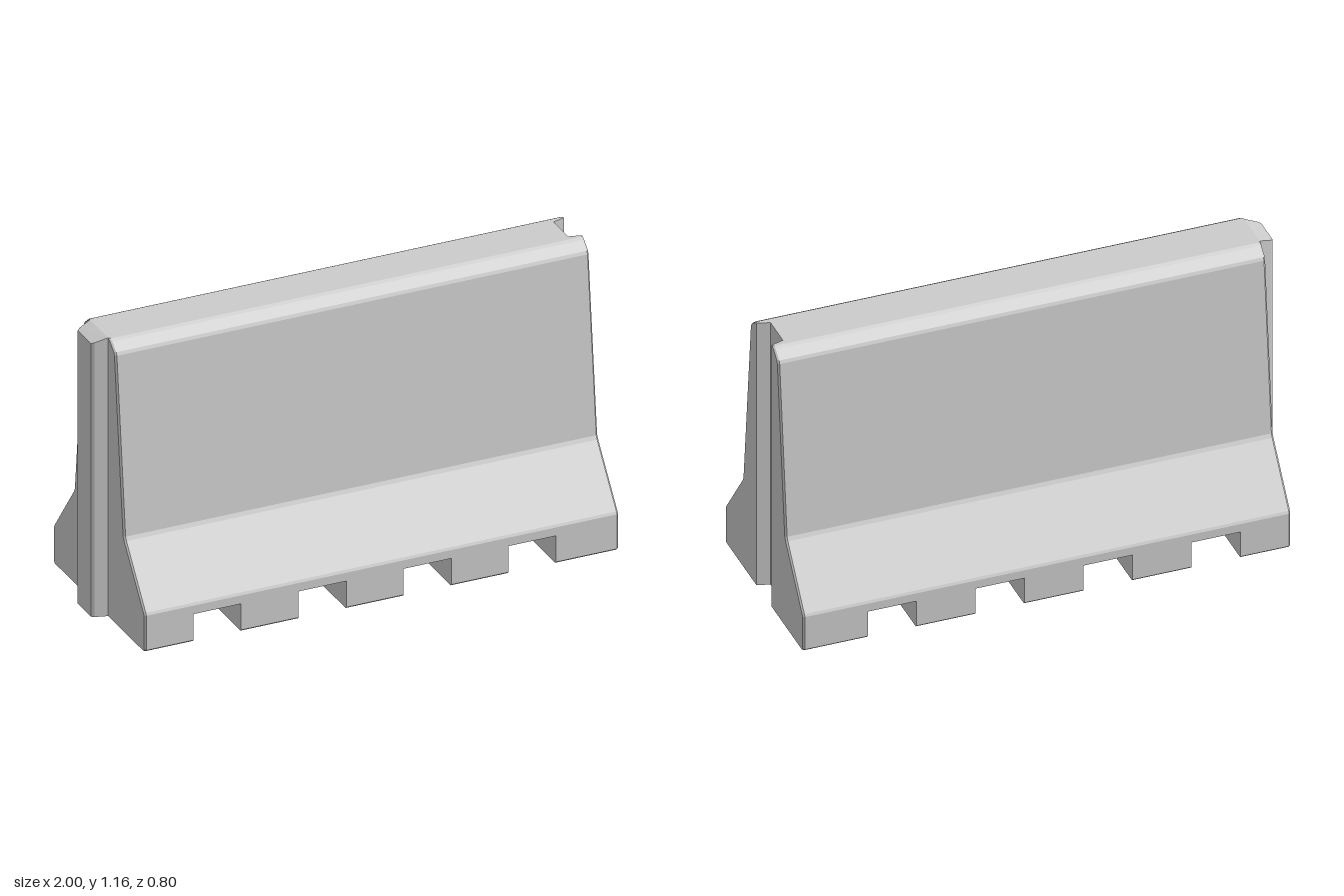
import * as THREE from 'three';

const LEFT = -0.94, RIGHT = 1, NOTCH = 0.115, EDGE = 0.007;

// Half-width of the barrier at each height, from the notch ceiling to the crown
const PROFILE = [
  [0.4, NOTCH], [0.4, 0.15], [0.395, 0.16], [0.226, 0.38], [0.218, 0.395],
  [0.142, 1.115], [0.136, 1.127], [0.101, 1.156], [0.088, 1.163],
];

// Plan outline [x, z]; the outer ends get a small chamfer, the right end the groove
function outline(x0, x1, w) {
  const a = x0 === LEFT ? EDGE : 0, b = x1 === RIGHT ? EDGE : 0;
  const pts = [[x0, w - a], [x0 + a, w], [x1 - b, w], [x1, w - b]];
  if (x1 === RIGHT) pts.push([x1, 0.078], [0.95, 0.064], [0.95, -0.064], [x1, -0.078]);
  pts.push([x1, -w + b], [x1 - b, -w], [x0 + a, -w], [x0, -w + a]);
  return pts;
}

// Flat-shaded solid through stacked plan outlines; levels are { y, pts: [x, z, dy] }
function loft(levels, capTop) {
  const pos = [];
  const rings = levels.map(({ y, pts }) => pts.map(([x, z, dy = 0]) => [x, y + dy, z]));
  const tri = (p, q, r) => pos.push(...p, ...q, ...r);
  for (let i = 0; i + 1 < rings.length; i++) {
    const lo = rings[i], hi = rings[i + 1];
    lo.forEach((p, j) => {
      const k = (j + 1) % lo.length;
      tri(p, lo[k], hi[k]);
      tri(p, hi[k], hi[j]);
    });
  }
  const ring = capTop ? rings[rings.length - 1] : rings[0];
  cap(ring, capTop ? 1 : -1);

  function cap(r, up) {
    const flat = r.map(([x, , z]) => new THREE.Vector2(x, z));
    for (const [a, b, c] of THREE.ShapeUtils.triangulateShape(flat, [])) {
      const A = r[a], B = r[b], C = r[c];
      const ny = (B[2] - A[2]) * (C[0] - A[0]) - (B[0] - A[0]) * (C[2] - A[2]);
      if (ny * up > 0) tri(A, B, C); else tri(A, C, B);
    }
  }
  const g = new THREE.BufferGeometry();
  g.setAttribute('position', new THREE.Float32BufferAttribute(pos, 3));
  g.computeVertexNormals();
  return g;
}

export function createModel() {
  const group = new THREE.Group();
  const material = new THREE.MeshStandardMaterial({ color: 0xcccccc });
  const add = (name, geometry) => {
    const mesh = new THREE.Mesh(geometry, material);
    mesh.name = name;
    group.add(mesh);
    return mesh;
  };

  // Tapered wall above the feet
  add('wall', loft(PROFILE.map(([w, y]) => ({ y, pts: outline(LEFT, RIGHT, w) })), true));

  // Five feet with four lifting notches between them
  const feet = [[LEFT, -0.74], [-0.545, -0.31], [-0.115, 0.12], [0.315, 0.55], [0.743, RIGHT]];
  feet.forEach(([x0, x1], i) => {
    add('foot', loft([[0.394, 0], [0.4, 0.006], [0.4, NOTCH]]
      .map(([w, y]) => ({ y, pts: outline(x0, x1, w) })), false));
    if (i === 0) return;
    const start = feet[i - 1][1];
    const ceiling = new THREE.PlaneGeometry(x0 - start, 0.8).rotateX(Math.PI / 2);
    add('notchCeiling', ceiling).position.set((start + x0) / 2, NOTCH, 0);
  });

  // Interlocking tongue on the end, its top sloping outward
  const tongue = (slope) => [
    [-0.99, 0.066, -0.017 * slope], [LEFT, 0.08], [LEFT, -0.08],
    [-0.99, -0.066, -0.017 * slope], [-1, -0.058, -0.021 * slope], [-1, 0.058, -0.021 * slope],
  ];
  const tongueLevels = [{ y: 0, pts: tongue(0) }, { y: 1.163, pts: tongue(1) }];
  add('tongue', loft(tongueLevels, true));
  const base = new THREE.Shape(tongue(0).map(([x, z]) => new THREE.Vector2(x, z)));
  add('tongueBase', new THREE.ShapeGeometry(base).rotateX(Math.PI / 2));

  return group;
}
